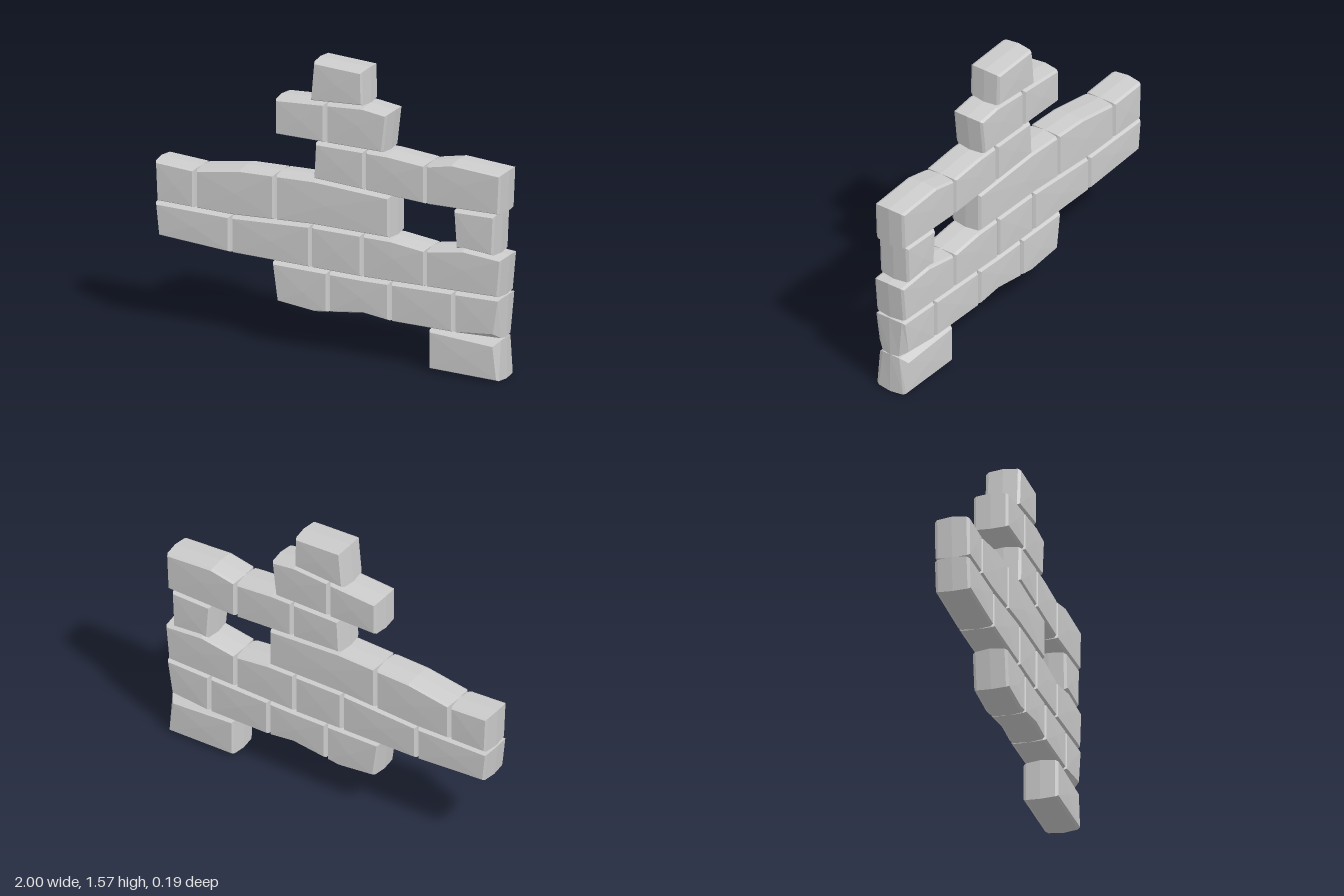
import * as THREE from 'three';

const DEPTH = 0.095;
const material = new THREE.MeshStandardMaterial({ color: 0xcccccc, flatShading: true, side: THREE.DoubleSide });
const { lerp, clamp } = THREE.MathUtils;

// Wavy bed lines between the courses, bottom to top, each shared by the bricks on both sides
const beds = [
  [[0.57, 0.01], [0.985, 0]],
  [[-0.3, 0.24], [-0.08, 0.215], [0.2, 0.25], [0.36, 0.23], [0.98, 0.225]],
  [[-0.98, 0.49], [-0.56, 0.46], [0.2, 0.445], [0.99, 0.455]],
  [[-1, 0.675], [-0.56, 0.665], [-0.1, 0.685], [0.36, 0.68], [0.565, 0.655], [0.77, 0.69], [1, 0.67]],
  [[-1, 0.9], [-0.765, 0.885], [-0.51, 0.925], [-0.08, 0.935], [0.56, 0.895], [0.99, 0.9]],
  [[-0.31, 1.14], [0.34, 1.135], [0.56, 1.115], [0.71, 1.145], [1, 1.125]],
  [[-0.31, 1.34], [0.2, 1.37], [0.345, 1.35]],
  [[-0.09, 1.575], [0.2, 1.56]],
];

// Unbroken runs of bricks: bed below, upright joints, and how far the two ends lean in x
const runs = [
  { bed: 0, joints: [0.57, 0.98], lean: [0, 0] },
  { bed: 1, joints: [-0.315, 0, 0.355, 0.72, 0.985], lean: [-0.03, 0.01] },
  { bed: 2, joints: [-0.99, -0.56, -0.1, 0.195, 0.56, 0.99], lean: [-0.02, 0.02] },
  { bed: 3, joints: [-0.995, -0.765, -0.305, 0.355], lean: [-0.01, 0] },
  { bed: 3, joints: [0.72, 0.955], lean: [-0.015, 0.01] },
  { bed: 4, joints: [-0.085, 0.21, 0.56, 0.99], lean: [0.01, 0.01] },
  { bed: 5, joints: [-0.31, -0.015, 0.33], lean: [0, 0.025] },
  { bed: 6, joints: [-0.1, 0.2], lean: [0.02, -0.005] },
];

// The worn lower right corner has a wider bevel than the other edges
const bevel = ([x, y]) => (x > 0.9 && y > 0.2 && y < 0.3 ? 0.035 : 0.014);

function bedHeight(bed, x) {
  const i = clamp(bed.findIndex(p => p[0] >= x), 1, bed.length - 1);
  const [a, b] = [bed[i - 1], bed[i]];
  return lerp(a[1], b[1], clamp((x - a[0]) / (b[0] - a[0]), 0, 1));
}

// Piece of a bed line between two joints, left to right
function bedPiece(bed, x0, x1) {
  const inner = bed.filter(([x]) => x > x0 + 0.03 && x < x1 - 0.03);
  return [[x0, bedHeight(bed, x0)], ...inner, [x1, bedHeight(bed, x1)]];
}

// Moves each corner inward by its own distance along the mitre
function inset(points, distance) {
  return points.map((p, i) => {
    const a = points[(i + points.length - 1) % points.length];
    const b = points[(i + 1) % points.length];
    const u = new THREE.Vector2(p[0] - a[0], p[1] - a[1]).normalize();
    const v = new THREE.Vector2(b[0] - p[0], b[1] - p[1]).normalize();
    const scale = distance(p) / (1 + u.dot(v));
    return [p[0] - (u.y + v.y) * scale, p[1] + (u.x + v.x) * scale];
  });
}

// Lofts a brick from bevelled faces through a slightly raised middle ridge
function brickGeometry(outline) {
  const face = inset(outline, bevel);
  const shoulder = inset(outline, () => 0.006);
  const place = (loop, z) => loop.map(([x, y], i) => [x, y, z(outline[i])]);
  const loops = [
    place(face, () => -DEPTH + 0.002),
    place(shoulder, p => -DEPTH + bevel(p) * 1.2),
    place(outline, () => 0),
    place(shoulder, p => DEPTH - bevel(p) * 1.2),
    place(face, () => DEPTH - 0.002),
  ];
  const n = outline.length;
  const index = [];
  for (let k = 0; k < loops.length - 1; k++) {
    for (let i = 0; i < n; i++) {
      const a = k * n + i, b = k * n + (i + 1) % n;
      index.push(a, b, b + n, a, b + n, a + n);
    }
  }
  // Gently crowned front and back
  const vertices = loops.flat();
  const cx = face.reduce((s, p) => s + p[0], 0) / n;
  const cy = face.reduce((s, p) => s + p[1], 0) / n;
  const back = vertices.push([cx, cy, -DEPTH - 0.001]) - 1;
  const front = vertices.push([cx, cy, DEPTH + 0.001]) - 1;
  for (let i = 0; i < n; i++) {
    const j = (i + 1) % n;
    index.push(back, j, i, front, 4 * n + i, 4 * n + j);
  }
  const geometry = new THREE.BufferGeometry();
  geometry.setAttribute('position', new THREE.Float32BufferAttribute(vertices.flat(), 3));
  geometry.setIndex(index);
  geometry.computeVertexNormals();
  return geometry;
}

export function createModel() {
  const wall = new THREE.Group();
  wall.name = 'brokenBrickWall';
  runs.forEach(({ bed, joints, lean }, r) => {
    const run = new THREE.Group();
    run.name = `brickRun${r + 1}`;
    const last = joints.length - 1;
    const shift = i => (i === 0 ? lean[0] : i === last ? lean[1] : 0) / 2;
    const lower = joints.map((x, i) => x - shift(i));
    const upper = joints.map((x, i) => x + shift(i));
    for (let i = 0; i < last; i++) {
      const bottom = bedPiece(beds[bed], lower[i], lower[i + 1]);
      const top = bedPiece(beds[bed + 1], upper[i], upper[i + 1]);
      const brick = new THREE.Mesh(brickGeometry([...bottom, ...top.reverse()]), material);
      brick.name = `brick${i + 1}`;
      run.add(brick);
    }
    wall.add(run);
  });
  return wall;
}
